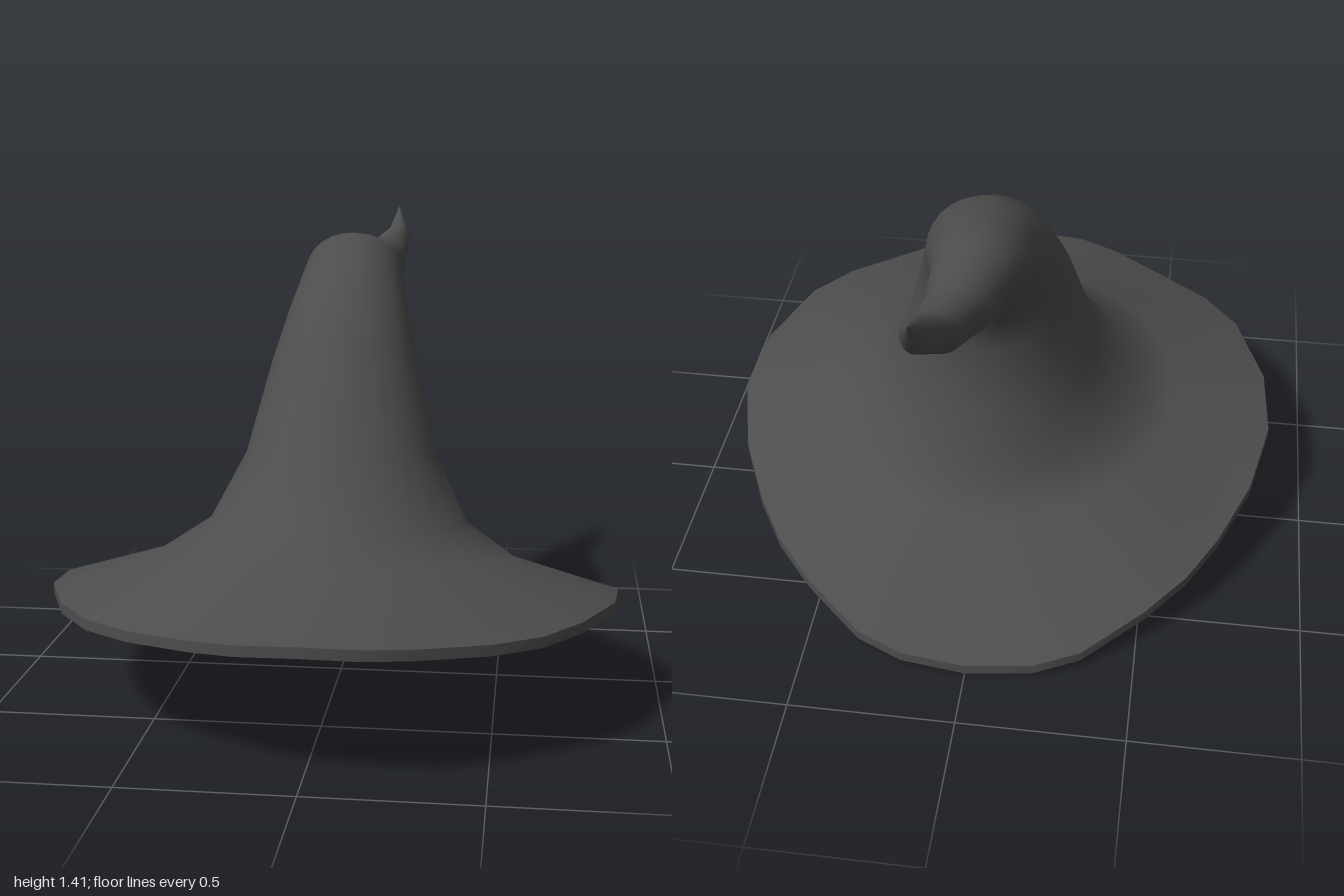
import * as THREE from 'three';

const SEG = 28; // points around every ring, starting at the front

// Half outline of the brim edge, front to back: [x, underside y, z]
const BRIM = [
  [0, 0.385, 0.99], [0.17, 0.38, 0.98], [0.3, 0.37, 0.93], [0.5, 0.35, 0.81], [0.64, 0.345, 0.71],
  [0.75, 0.345, 0.57], [0.85, 0.325, 0.31], [0.87, 0.295, 0.07], [0.82, 0.225, -0.14], [0.73, 0.165, -0.33],
  [0.64, 0.125, -0.47], [0.52, 0.09, -0.6], [0.34, 0.035, -0.74], [0.2, 0.013, -0.79], [0, 0.005, -0.81],
];

// Crown sections: [front z, front y, back z, back y, half width, centre x, side lift]
const CROWN = [
  [0.61, 0.51, -0.42, 0.28, 0.55, 0, 0.03],
  [0.48, 0.58, -0.365, 0.44, 0.4, 0, 0.01],
  [0.28, 0.78, -0.32, 0.64, 0.3, 0, 0],
  [0.08, 1.08, -0.31, 0.85, 0.235, 0, 0],
  [-0.09, 1.25, -0.36, 0.98, 0.195, 0, 0],
  [-0.31, 1.38, -0.44, 1.1, 0.16, 0, 0],
  [-0.52, 1.36, -0.5, 1.13, 0.118, 0.005, 0],
  [-0.66, 1.325, -0.62, 1.13, 0.092, 0.03, 0],
  [-0.79, 1.33, -0.75, 1.16, 0.07, 0.065, 0],
  [-0.87, 1.365, -0.89, 1.26, 0.04, 0.1, 0],
  [-0.99, 1.42, -0.99, 1.42, 0, 0.095, 0],
];

// Full brim ring mirrored from the half outline
function brimRing(dy) {
  return Array.from({ length: SEG }, (_, i) => {
    const [x, y, z] = BRIM[Math.min(i, SEG - i)];
    return [i > SEG / 2 ? -x : x, y + dy, z];
  });
}

// Tilted elliptical section of the crown
function crownRing([fz, fy, bz, by, w, cx, lift], scale = 1, dy = 0) {
  return Array.from({ length: SEG }, (_, i) => {
    const a = (i / SEG) * Math.PI * 2;
    const c = Math.cos(a) * scale * 0.5, s = Math.sin(a);
    return [cx + w * scale * s, (fy + by) / 2 + (fy - by) * c + lift * s * s + dy, (fz + bz) / 2 + (fz - bz) * c];
  });
}

// Joins rings into one smooth skin
function skin(rings, inward = false) {
  const index = [];
  for (let j = 0; j < rings.length - 1; j++) {
    for (let i = 0; i < SEG; i++) {
      const n = (i + 1) % SEG;
      const a = j * SEG + i, b = j * SEG + n, c = a + SEG, d = b + SEG;
      if (inward) index.push(a, d, b, a, c, d);
      else index.push(a, b, d, a, d, c);
    }
  }
  const geo = new THREE.BufferGeometry();
  geo.setAttribute('position', new THREE.Float32BufferAttribute(rings.flat(2), 3));
  geo.setIndex(index);
  geo.computeVertexNormals();
  return geo;
}

export function createModel() {
  const hat = new THREE.Group();
  hat.name = 'pointedHat';
  const felt = new THREE.MeshStandardMaterial({ color: 0x4d4d4d });
  felt.name = 'charcoal felt';

  const add = (name, geo) => {
    const mesh = new THREE.Mesh(geo, felt);
    mesh.name = name;
    hat.add(mesh);
  };

  const top = brimRing(0.032), under = brimRing(0);

  // Brim top flowing into the bent crown
  add('brimAndCrown', skin([top, ...CROWN.map((r) => crownRing(r))]));

  // Thin edge of the brim
  add('brimEdge', skin([under, top]));

  // Underside of the brim and the hollow inside, closed at the bend
  const inside = CROWN.slice(0, 6).map((r, j) => crownRing(r, j ? 0.92 : 0.97, j ? -0.02 : -0.035));
  const end = crownRing(CROWN[5], 0, 0);
  add('lining', skin([under, ...inside, end], true));

  return hat;
}
